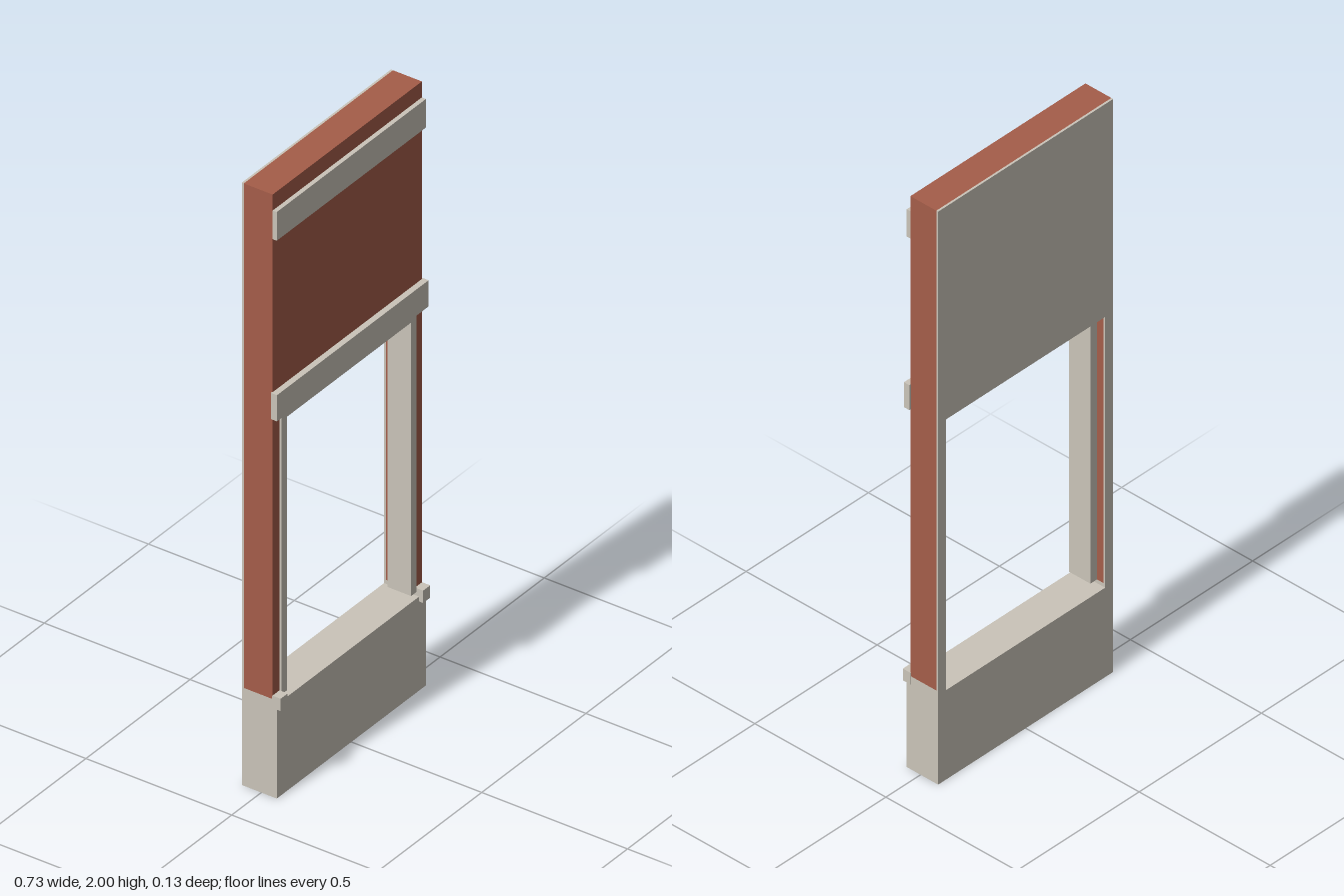
import * as THREE from 'three';

export function createModel() {
  const model = new THREE.Group();
  model.name = 'windowWallPanel';
  const brick = new THREE.MeshStandardMaterial({ color: 0xa55d49 });
  brick.name = 'red brick';
  const stone = new THREE.MeshStandardMaterial({ color: 0xcac4b9 });
  stone.name = 'pale stone';

  const W = 0.358;      // half width of the panel
  const OPEN = 0.325;   // half width of the opening
  const GLASS = 0.298;  // half width inside the frame
  const SILL = 0.312, SPRING = 0.325, HEAD = 1.257, TOP = 2;
  const BACK = -0.067, CORE = -0.06, FACE = 0.039;

  const add = (name, geometry, material) => {
    const mesh = new THREE.Mesh(geometry, material);
    mesh.name = name;
    model.add(mesh);
  };
  const box = (name, material, x0, x1, y0, y1, z0, z1) => {
    const g = new THREE.BoxGeometry(x1 - x0, y1 - y0, z1 - z0);
    g.translate((x0 + x1) / 2, (y0 + y1) / 2, (z0 + z1) / 2);
    add(name, g, material);
  };
  // Flat outline pushed through from z0 to z1
  const slab = (name, material, points, z0, z1, hole) => {
    const toVectors = (list) => list.map(([x, y]) => new THREE.Vector2(x, y));
    const shape = new THREE.Shape(toVectors(points));
    if (hole) shape.holes.push(new THREE.Path(toVectors(hole)));
    const g = new THREE.ExtrudeGeometry(shape, { depth: z1 - z0, bevelEnabled: false });
    g.translate(0, 0, z0);
    add(name, g, material);
  };
  // Upside-down U around an opening
  const arch = (outer, inner, bottom, head, top) => [
    [-outer, bottom], [-inner, bottom], [-inner, head], [inner, head],
    [inner, bottom], [outer, bottom], [outer, top], [-outer, top],
  ].reverse();

  // Brick wall around the opening
  slab('brickWall', brick, arch(W, OPEN, SPRING, HEAD, TOP), CORE, FACE);

  // Stone base, with shoulders carrying the brick piers
  slab('stoneBase', stone, [
    [-W, 0], [W, 0], [W, SPRING], [OPEN, SPRING], [OPEN, SILL],
    [-OPEN, SILL], [-OPEN, SPRING], [-W, SPRING],
  ], CORE, 0.053);

  // Inner wall lining on the back
  slab('backLining', stone,
    [[-W, 0], [W, 0], [W, TOP], [-W, TOP]], BACK, CORE,
    [[-OPEN, SILL], [-OPEN, HEAD], [OPEN, HEAD], [OPEN, SILL]]);

  // Window frame, set towards the front
  slab('windowFrame', stone, arch(OPEN, GLASS, SPRING, 1.233, HEAD), -0.036, 0.045);

  // Stone bands across the face
  box('lintelBand', stone, -0.364, 0.364, HEAD, 1.344, FACE - 0.002, 0.058);
  box('upperBand', stone, -W, W, 1.852, 1.947, FACE - 0.002, 0.053);

  // Small sill blocks at the foot of each pier
  for (const side of [-1, 1]) {
    const a = side * OPEN, b = side * (W + 0.001);
    box(side > 0 ? 'leftSillBlock' : 'rightSillBlock', stone,
      Math.min(a, b), Math.max(a, b), 0.296, 0.337, FACE - 0.002, 0.067);
  }
  return model;
}
